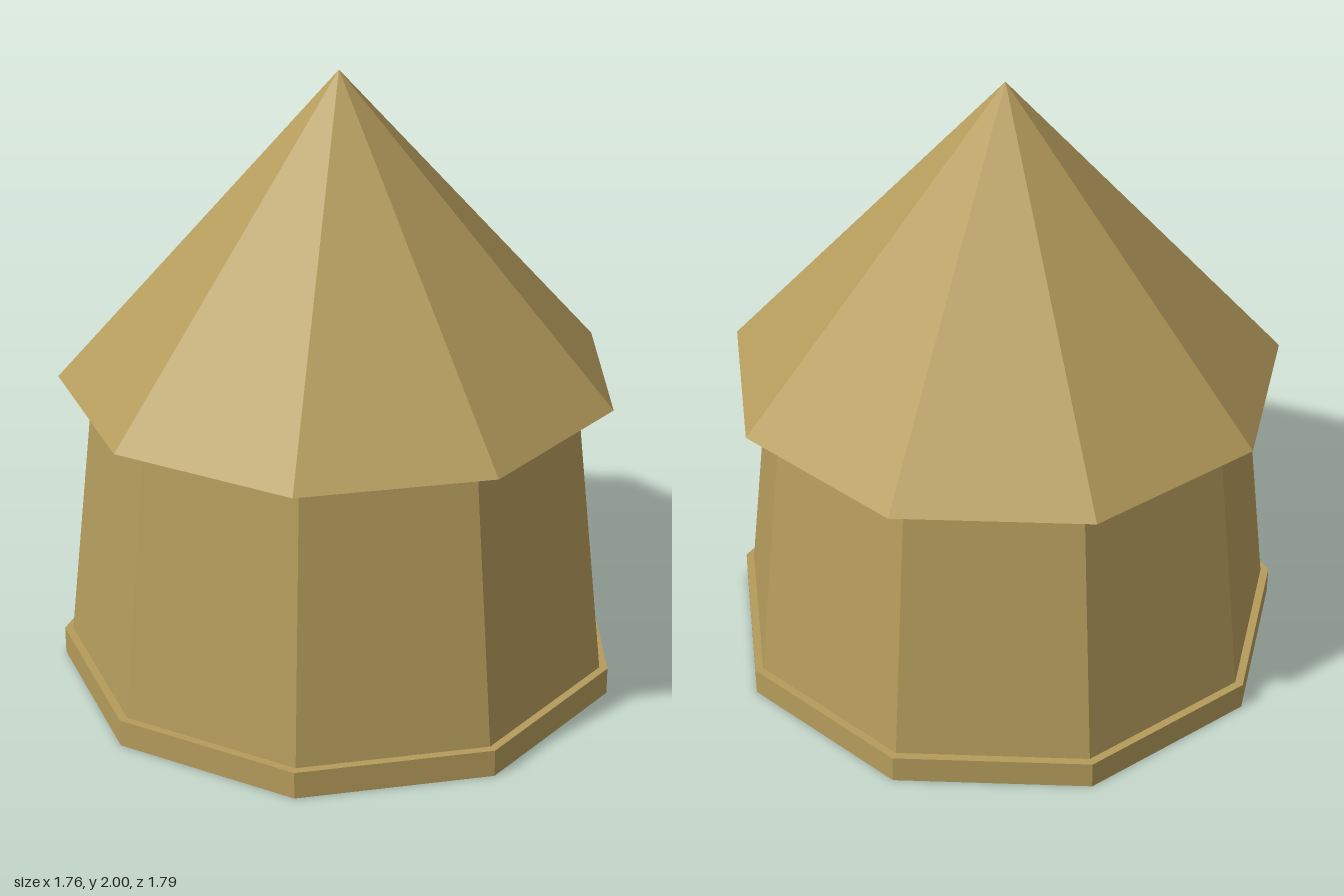
import * as THREE from 'three';

const SIDES = 9;
const CENTRE_X = -0.027;

export function createModel() {
  const group = new THREE.Group();
  group.name = 'roundHut';
  const straw = new THREE.MeshStandardMaterial({ color: 0xb59c5c, side: THREE.DoubleSide, flatShading: true });
  straw.name = 'straw';

  // Open nine-sided ring between two heights, with one corner on +x
  function ring(name, rTop, rBottom, y0, y1) {
    const geo = new THREE.CylinderGeometry(rTop, rBottom, y1 - y0, SIDES, 1, true, Math.PI / 2);
    const mesh = new THREE.Mesh(geo, straw);
    mesh.name = name;
    mesh.position.set(CENTRE_X, (y0 + y1) / 2, 0);
    group.add(mesh);
  }

  ring('plinth', 0.907, 0.907, 0, 0.09);
  ring('wall', 0.778, 0.88, 0.09, 1);
  ring('roof', 0, 0.888, 1, 2);

  // Floor slab, also the ledge around the wall and the ceiling of the hollow plinth
  const floor = new THREE.Mesh(new THREE.CircleGeometry(0.907, SIDES).rotateX(-Math.PI / 2), straw);
  floor.name = 'floor';
  floor.position.set(CENTRE_X, 0.09, 0);
  group.add(floor);

  return group;
}
